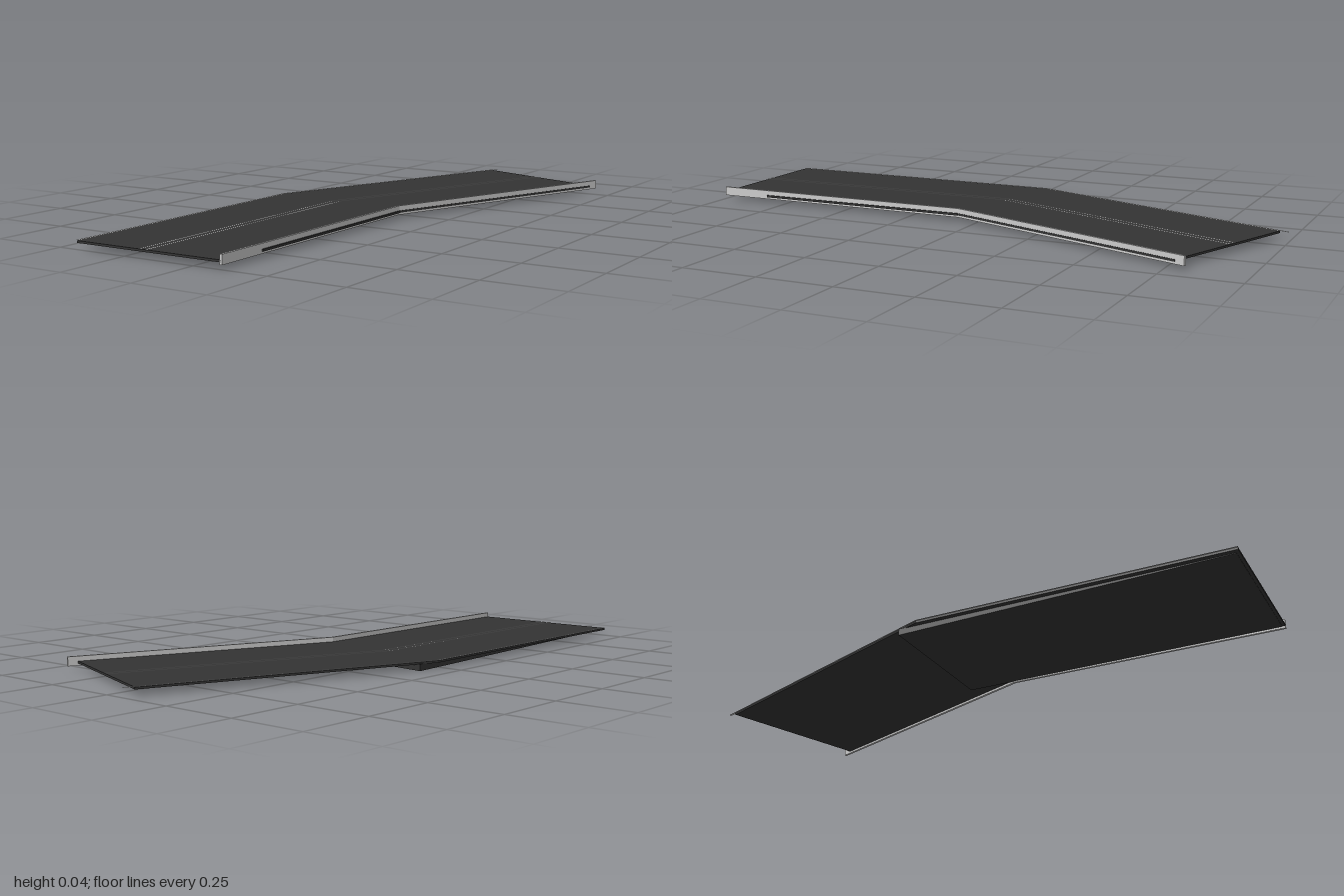
import * as THREE from 'three';

const LEFT = -0.435;                 // outer edge of the bend
const DIR = [0.352, -0.936];         // heading of the far stretch
const LENGTH = 1.0;                  // far stretch, measured on the outer edge

// Plan points of the road at a distance across it
const bend = (x) => [x, -0.03 + 0.18 * (x - LEFT)];
const farEnd = (x, over) => {
  const b = bend(LEFT), across = x - LEFT, l = LENGTH + over;
  return [b[0] + DIR[0] * l - DIR[1] * across, b[1] + DIR[1] * l + DIR[0] * across];
};

const material = (color) => new THREE.MeshStandardMaterial({
  color, flatShading: true, side: THREE.DoubleSide,
});

// A band between x0 and x1 that follows the bent road; flat when y0 equals y1
function band(name, x0, x1, y0, y1, over, mat) {
  const plan = [[x0, 1], [x1, 1], bend(x1), farEnd(x1, over), farEnd(x0, over), bend(x0)];
  const shape = new THREE.Shape(plan.map(([x, z]) => new THREE.Vector2(x, -z)));
  const geo = y1 > y0
    ? new THREE.ExtrudeGeometry(shape, { depth: y1 - y0, bevelEnabled: false })
    : new THREE.ShapeGeometry(shape);
  geo.rotateX(-Math.PI / 2);
  geo.translate(0, y0, 0);
  const mesh = new THREE.Mesh(geo, mat);
  mesh.name = name;
  return mesh;
}

export function createModel() {
  const model = new THREE.Group();
  model.name = 'bentRoad';
  const asphalt = material(0x333333);
  const grey = material(0xcccccc);

  // Road deck
  model.add(band('roadDeck', -0.432, 0.096, 0.02, 0.027, 0, asphalt));

  // Double centre line and outer edge line
  model.add(band('centreLineLeft', -0.172, -0.163, 0.0285, 0.0285, 0, grey));
  model.add(band('centreLineRight', -0.196, -0.187, 0.0285, 0.0285, 0, grey));
  model.add(band('edgeLine', LEFT, -0.426, 0.0285, 0.0285, 0.035, grey));

  // Guard rail on the inner side of the bend
  model.add(band('guardRail', 0.092, 0.101, 0.013, 0.043, 0.033, grey));

  // Dark slot strips on the outside of the rail, one per stretch
  const b = bend(0.101), e = farEnd(0.101, 0);
  for (const [from, to, width] of [[[0.101, 0.82], b, 0.01], [b, e, 0.003]]) {
    const dx = to[0] - from[0], dz = to[1] - from[1];
    const strip = new THREE.Mesh(new THREE.BoxGeometry(width, 0.007, Math.hypot(dx, dz)), asphalt);
    strip.position.set((from[0] + to[0]) / 2, 0.0235, (from[1] + to[1]) / 2);
    strip.rotation.y = Math.atan2(dx, dz);
    strip.name = 'railStrip';
    model.add(strip);
  }

  // Sloping slab under the near stretch, lowest at the outer corner of the bend
  const slab = new THREE.BoxGeometry(0.51, 0.02, 1.09);
  slab.translate(-0.16, 0, 0.445);
  const p = slab.attributes.position;
  for (let i = 0; i < p.count; i++) {
    const back = p.getZ(i) < 0, outer = p.getX(i) < -0.2;
    const bottom = back ? (outer ? 0 : 0.017) : 0.019;
    p.setY(i, p.getY(i) > 0 ? 0.022 : bottom);
  }
  slab.computeVertexNormals();
  const under = new THREE.Mesh(slab, asphalt);
  under.name = 'undersideSlab';
  model.add(under);

  return model;
}
